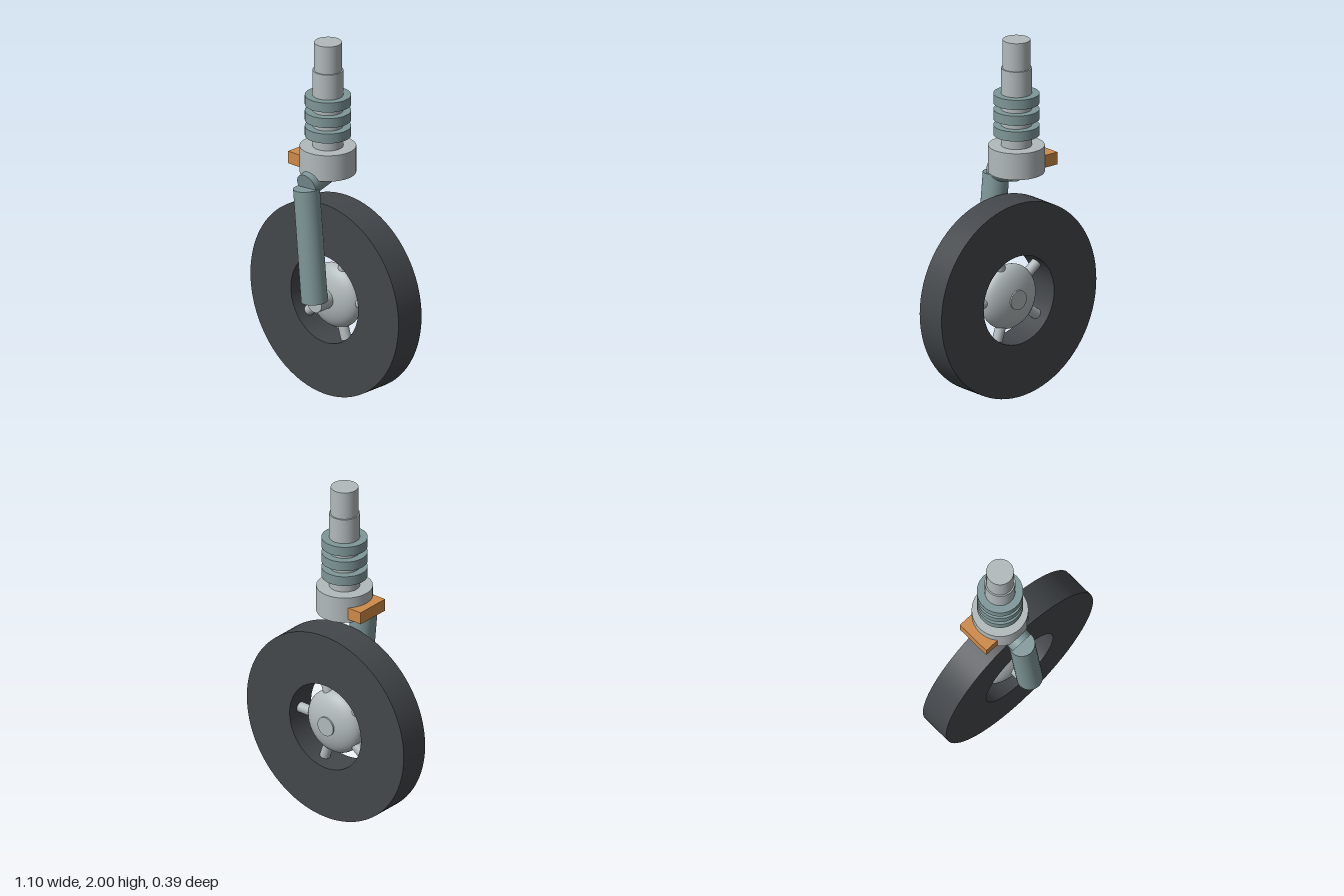
import * as THREE from 'three';

const mat = (name, color) => new THREE.MeshStandardMaterial({ name, color });

export function createModel() {
  const steel = mat('light steel', 0xb2babc);
  const strut = mat('blue grey metal', 0x7f9799);
  const rubber = mat('dark rubber', 0x43474b);
  const orange = mat('orange paint', 0xcf8a48);

  const model = new THREE.Group();
  model.name = 'casterWheel';
  const add = (name, geometry, material, parent = model) => {
    const mesh = new THREE.Mesh(geometry, material);
    mesh.name = name;
    parent.add(mesh);
    return mesh;
  };

  // Cylinder running between two points
  const up = new THREE.Vector3(0, 1, 0);
  const rod = (name, a, b, radius, material, parent = model) => {
    const from = new THREE.Vector3(...a);
    const to = new THREE.Vector3(...b);
    const dir = to.clone().sub(from);
    const mesh = add(name, new THREE.CylinderGeometry(radius, radius, dir.length(), 40), material, parent);
    mesh.position.copy(from).add(to).multiplyScalar(0.5);
    mesh.quaternion.setFromUnitVectors(up, dir.normalize());
    return mesh;
  };

  // Upright post: pin, sleeve, rings and collar share one axis
  const px = -0.06, pz = -0.045;
  const post = (name, y0, y1, radius, material) =>
    rod(name, [px, y0, pz], [px, y1, pz], radius, material);
  post('topPin', 1.8, 2.0, 0.075, steel);
  post('sleeve', 1.38, 1.84, 0.083, steel);
  for (const y of [1.46, 1.55, 1.64]) post('springRing', y, y + 0.055, 0.125, strut);
  post('collar', 1.25, 1.4, 0.153, steel);

  // Side tab on the collar
  add('sideTab', new THREE.BoxGeometry(0.09, 0.07, 0.205), orange).position.set(-0.215, 1.305, -0.047);

  // Knuckle and single-sided leg
  rod('knuckle', [px, 1.215, 0.123], [px, 1.257, -0.035], 0.067, strut);
  rod('leg', [px, 1.2, 0.123], [0, 0.56, 0.123], 0.072, strut);

  // Wheel, with its axle along z
  const wheel = new THREE.Group();
  wheel.name = 'wheel';
  wheel.position.set(0, 0.55, -0.045);
  model.add(wheel);

  // Flat-sided tyre; repeated profile points keep the edges sharp
  const corners = [[0.25, -0.09], [0.55, -0.09], [0.55, 0.09], [0.25, 0.09]];
  corners.forEach((c, i) => {
    const side = [c, corners[(i + 1) % 4]].map(([r, z]) => new THREE.Vector2(r, z));
    add(['tyreBack', 'tyreTread', 'tyreFront', 'tyreBore'][i],
      new THREE.LatheGeometry(side, 80).rotateX(Math.PI / 2), rubber, wheel);
  });

  // Lens-shaped hub, axle and spokes
  add('hub', new THREE.SphereGeometry(0.182, 40, 24), steel, wheel).scale.z = 0.47;
  rod('axle', [0, 0, -0.09], [0, 0, 0.17], 0.055, steel, wheel);
  for (let i = 0; i < 5; i++) {
    const a = (i / 5) * Math.PI * 2;
    const at = (r) => [r * Math.cos(a), r * Math.sin(a), 0];
    rod('spoke', at(0.1), at(0.252), 0.029, steel, wheel);
  }

  return model;
}
